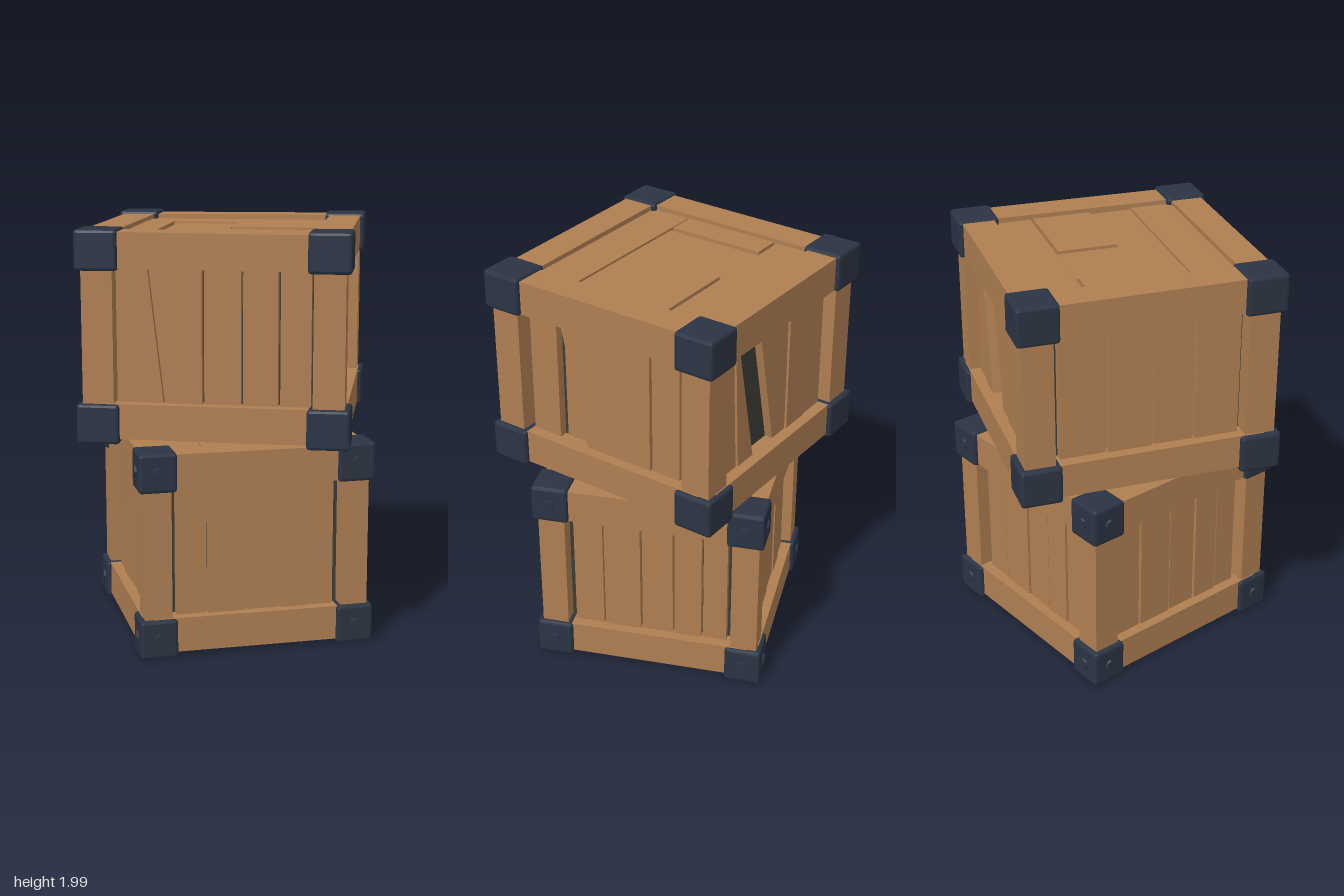
import * as THREE from 'three';
import { RoundedBoxGeometry } from 'three/addons/geometries/RoundedBoxGeometry.js';

const material = (name, color) => {
  const m = new THREE.MeshStandardMaterial({ color, flatShading: true });
  m.name = name;
  return m;
};

export function createModel() {
  const wood = material('wood', 0xb07f52);
  const iron = material('dark iron', 0x2b3444);
  const gap = material('shadowy gap', 0x3c3c37);

  const add = (parent, name, geometry, mat, x = 0, y = 0, z = 0) => {
    const mesh = new THREE.Mesh(geometry, mat);
    mesh.name = name;
    mesh.position.set(x, y, z);
    parent.add(mesh);
    return mesh;
  };

  // Upright board with its own left and right edges at the bottom and top
  const board = (parent, name, [b0, b1, t0, t1], z, depth) => {
    const y0 = 0.15, y1 = 0.85;
    const shape = new THREE.Shape([
      new THREE.Vector2(b0, y0), new THREE.Vector2(b1, y0),
      new THREE.Vector2(t1, y1), new THREE.Vector2(t0, y1),
    ]);
    add(parent, name, new THREE.ExtrudeGeometry(shape, { depth, bevelEnabled: false }), wood, 0, 0, z);
  };

  // Straight boards between a list of seams, as a set of four edges each
  const straight = (seams) => seams.slice(1).map((b, i) => {
    const l = seams[i] + 0.005, r = b - 0.005;
    return [l, r, l, r];
  });

  // sides: boards for front, +x, back and -x; fills: recessed wood behind wedge openings
  // lid: [x0, x1, z0, z1, height] boards
  function crate(name, sides, fills, lid, rivets) {
    const g = new THREE.Group();
    g.name = name;
    add(g, 'innerCore', new THREE.BoxGeometry(1.02, 0.85, 1.02), gap, 0, 0.495, 0);

    // Side panels and corner posts
    sides.forEach((boards, i) => {
      const side = new THREE.Group();
      side.name = 'sidePanel';
      side.rotation.y = i * Math.PI / 2;
      boards.forEach((b, j) => board(side, 'sidePlank', b, 0.505, 0.045 + (j % 2) * 0.006));
      (fills[i] || []).forEach((b) => board(side, 'recessedPlank', b, 0.505, 0.012));
      add(side, 'cornerPost', new THREE.BoxGeometry(0.145, 0.8, 0.145), wood, 0.53, 0.5, 0.53);
      // Horizontal rails, leaning very slightly
      for (const y of [0.105, 0.893]) {
        const rail = add(side, 'frameRail', new THREE.BoxGeometry(1.1, 0.165, 0.155), wood, 0, y, 0.53);
        rail.rotation.z = (i % 2 ? 1 : -1) * 0.005;
      }
      g.add(side);
    });

    // Lid and floor boards
    for (const [x0, x1, z0, z1, top] of lid) {
      add(g, 'lidPlank', new THREE.BoxGeometry(x1 - x0, top - 0.9, z1 - z0), wood,
        (x0 + x1) / 2, (top + 0.9) / 2, (z0 + z1) / 2);
    }
    const floor = [-0.46, -0.24, -0.02, 0.22, 0.46];
    for (let i = 0; i < 4; i++) {
      add(g, 'floorPlank', new THREE.BoxGeometry(floor[i + 1] - floor[i] - 0.01, 0.05, 0.94), wood,
        (floor[i] + floor[i + 1]) / 2, 0.07, 0);
    }

    // Iron corner caps
    const rivet = new THREE.CylinderGeometry(0.026, 0.03, 0.012, 8);
    for (const x of [-1, 1]) for (const z of [-1, 1]) for (const y of [0.095, 0.895]) {
      const cap = new THREE.Group();
      cap.name = 'cornerCap';
      cap.position.set(x * 0.53, y, z * 0.53);
      add(cap, 'capBlock', new RoundedBoxGeometry(0.198, 0.186, 0.198, 1, 0.014), iron);
      if (rivets) {
        add(cap, 'capRivet', rivet, iron, 0, 0, z * 0.103).rotation.x = z * Math.PI / 2;
        add(cap, 'capRivet', rivet, iron, x * 0.103, 0, 0).rotation.z = -x * Math.PI / 2;
      }
      g.add(cap);
    }
    return g;
  }

  // Upper crate, with a cracked front and side and a slanting gap at the back
  const upper = crate('upperCrate', [
    [[-0.45, -0.23, -0.45, -0.31], ...straight([-0.225, -0.05, 0.13, 0.3, 0.45])],
    [[-0.43, -0.275, -0.43, -0.275], [-0.1, 0.25, -0.26, 0.25], [0.26, 0.41, 0.26, 0.41]],
    [[-0.44, -0.3, -0.44, -0.34], [-0.29, -0.16, -0.33, -0.31],
      [0.02, 0.12, -0.13, 0.12], ...straight([0.125, 0.29, 0.44])],
    straight([-0.43, -0.2, 0.02, 0.22, 0.44]),
  ], {
    0: [[-0.24, -0.21, -0.33, -0.21]],
    1: [[-0.255, -0.09, -0.255, -0.2]],
  }, [
    [-0.46, 0.46, -0.46, -0.27, 0.952],
    [-0.46, 0.46, 0.245, 0.46, 0.952],
    [-0.46, -0.315, -0.255, 0.235, 0.955],
    [-0.3, 0.005, -0.265, 0.24, 0.945],
    [0.015, 0.46, -0.255, 0.03, 0.955],
    [0.005, 0.46, 0.035, 0.24, 0.945],
  ], false);
  upper.position.set(-0.003, 1.008, -0.003);

  // Lower crate, narrower and turned
  const seams = [-0.43, -0.26, -0.05, 0.13, 0.29, 0.43];
  const lower = crate('lowerCrate', [0, 1, 2, 3].map(() => straight(seams)), {},
    straight([-0.46, -0.24, 0, 0.22, 0.46]).map(([l, r]) => [l, r, -0.46, 0.46, 0.95]), true);
  lower.scale.set(0.9, 1, 0.9);
  lower.rotation.y = THREE.MathUtils.degToRad(21.4);
  lower.position.y = 0.002;

  const model = new THREE.Group();
  model.name = 'stackedCrates';
  model.add(lower, upper);
  return model;
}
